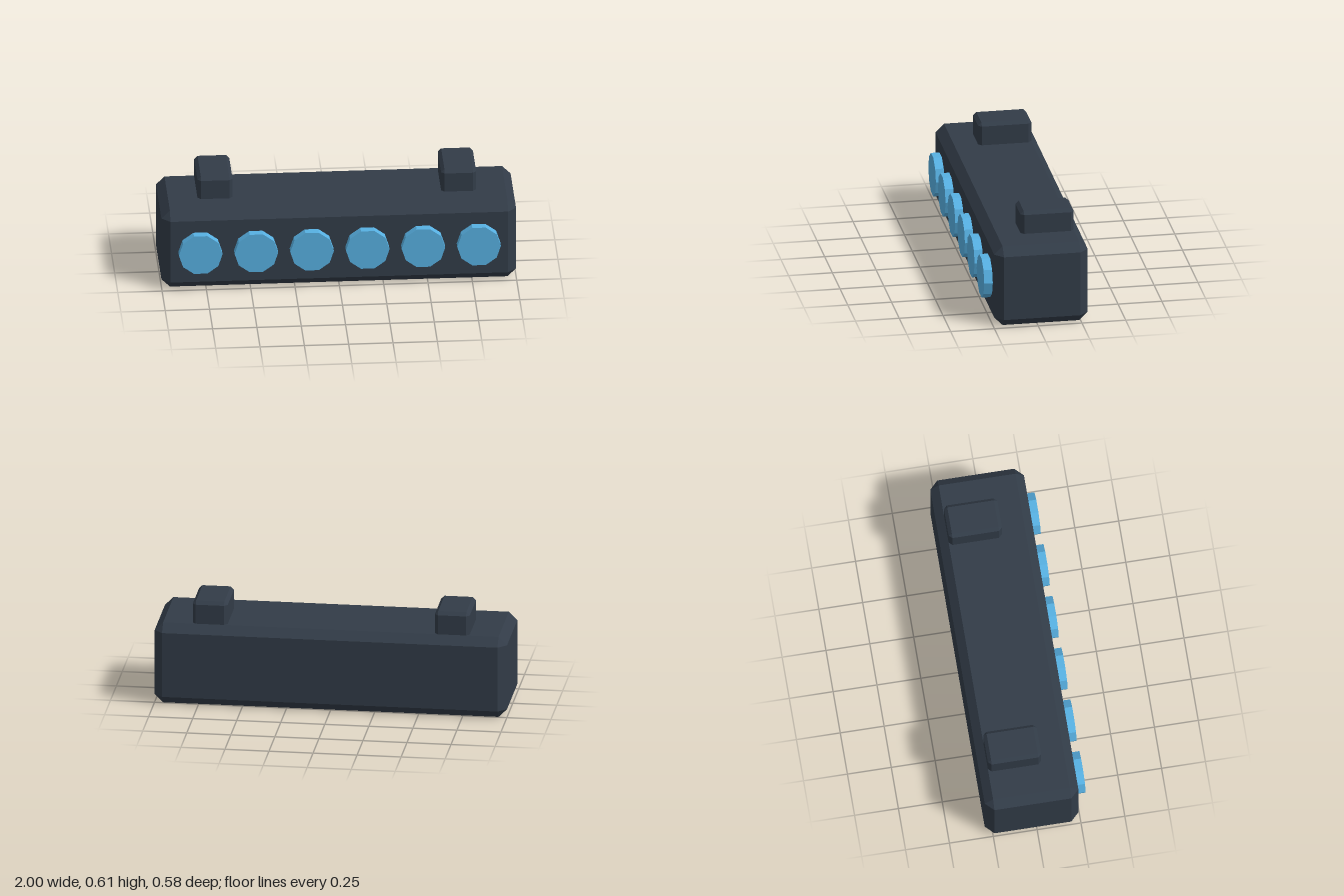
import * as THREE from 'three';
import { ConvexGeometry } from 'three/addons/geometries/ConvexGeometry.js';

const housingMaterial = new THREE.MeshStandardMaterial({ color: 0x323c48 });
housingMaterial.name = 'dark slate housing';
const lensMaterial = new THREE.MeshStandardMaterial({ color: 0x57b0e2 });
lensMaterial.name = 'light blue lens';

// Box with bevelled edges and triangular corners, centred on the origin
function chamferedBox(width, height, depth, c) {
  const points = [];
  const [x, y, z] = [width / 2, height / 2, depth / 2];
  for (const sx of [-1, 1]) for (const sy of [-1, 1]) for (const sz of [-1, 1]) {
    points.push(
      new THREE.Vector3(sx * x, sy * (y - c), sz * (z - c)),
      new THREE.Vector3(sx * (x - c), sy * y, sz * (z - c)),
      new THREE.Vector3(sx * (x - c), sy * (y - c), sz * z),
    );
  }
  return new ConvexGeometry(points);
}

export function createModel() {
  const model = new THREE.Group();
  model.name = 'lightBar';

  function add(name, geometry, material, x, y, z) {
    const mesh = new THREE.Mesh(geometry, material);
    mesh.name = name;
    mesh.position.set(x, y, z);
    model.add(mesh);
  }

  // Long bevelled housing
  add('housing', chamferedBox(2, 0.476, 0.534, 0.048), housingMaterial, 0, 0.238, -0.024);

  // Two mounting blocks, sunk slightly into the top of the housing
  const mount = chamferedBox(0.198, 0.188, 0.304, 0.019);
  for (const side of [-1, 1]) {
    add(side < 0 ? 'rightMount' : 'leftMount', mount, housingMaterial, side * 0.687, 0.514, -0.091);
  }

  // Row of six ten-sided lamps, corners pointing sideways
  const lens = new THREE.CylinderGeometry(0.123, 0.123, 0.08, 10, 1, false, Math.PI / 2)
    .rotateX(Math.PI / 2)
    .toNonIndexed();
  lens.computeVertexNormals();
  for (let i = 0; i < 6; i++) {
    add(`lens${i + 1}`, lens, lensMaterial, (i - 2.5) * 0.314, 0.239, 0.252);
  }

  return model;
}
